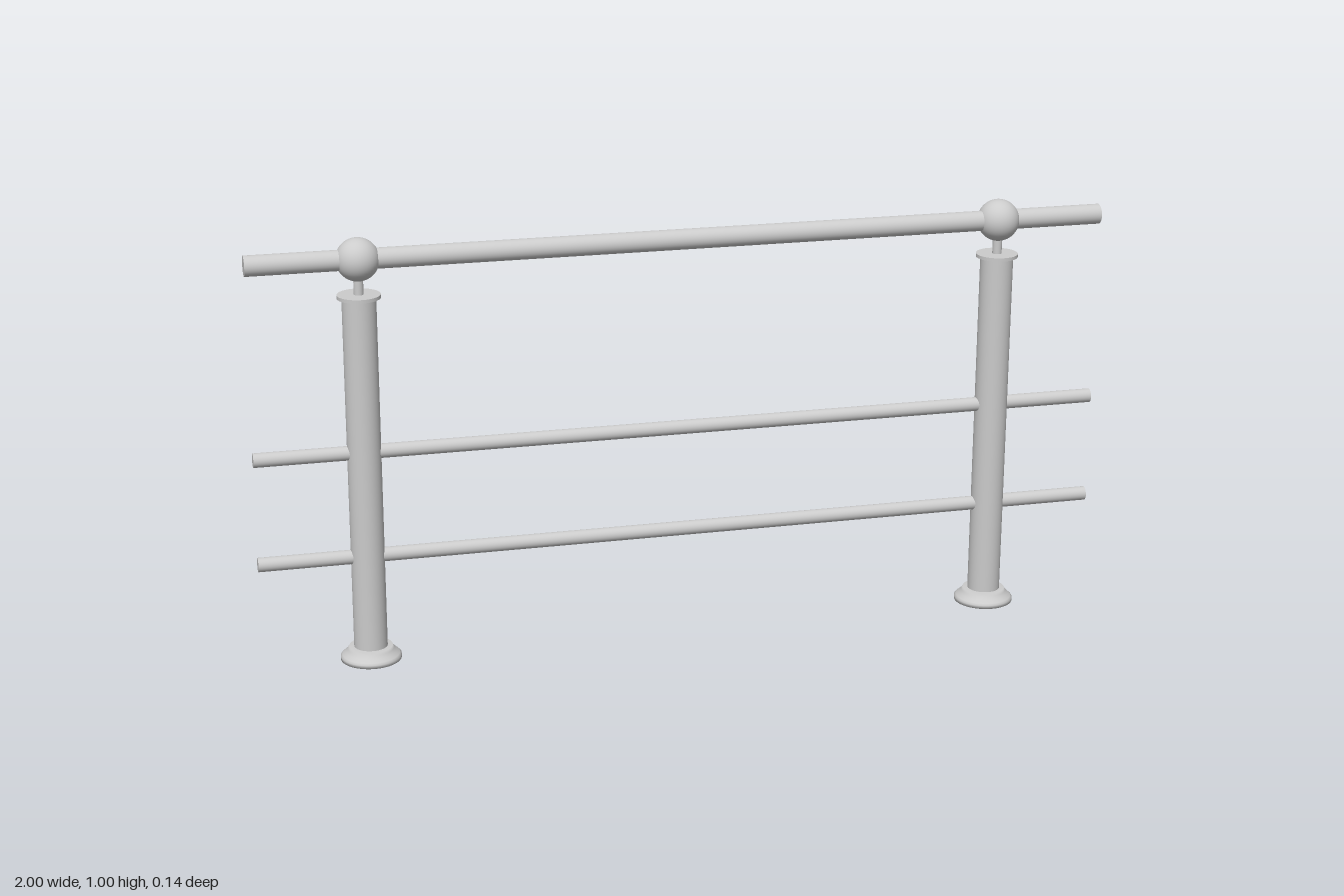
import * as THREE from 'three';

const material = new THREE.MeshStandardMaterial({ color: 0xcccccc, side: THREE.DoubleSide });
const LEAN = 0.0155; // forward lean of the railing: z per unit of height

function add(parent, name, geometry) {
  const mesh = new THREE.Mesh(geometry, material);
  mesh.name = name;
  parent.add(mesh);
  return mesh;
}

// Horizontal bar along x, following the lean of the posts
function addRail(parent, name, y, radius) {
  const rail = add(parent, name, new THREE.CylinderGeometry(radius, radius, 2, 32));
  rail.rotation.z = Math.PI / 2;
  rail.position.set(0, y, y * LEAN);
}

function createPost(name, x) {
  const post = new THREE.Group();
  post.name = name;

  // Flared foot
  const foot = [[0, 0], [0.07, 0], [0.07, 0.008], [0.066, 0.012], [0.059, 0.018], [0.053, 0.025], [0.05, 0.031], [0, 0.031]];
  add(post, 'foot', new THREE.LatheGeometry(foot.map(([r, y]) => new THREE.Vector2(r, y)), 40));

  // Upright tube, cap plate, neck pin and ball that holds the handrail
  add(post, 'upright', new THREE.CylinderGeometry(0.0385, 0.0385, 0.836, 40)).position.y = 0.446;
  add(post, 'cap', new THREE.CylinderGeometry(0.049, 0.049, 0.008, 40)).position.y = 0.867;
  add(post, 'neck', new THREE.CylinderGeometry(0.011, 0.011, 0.06, 20)).position.y = 0.895;
  add(post, 'ball', new THREE.SphereGeometry(0.049, 40, 24)).position.y = 0.951;

  post.rotation.x = Math.atan(LEAN);
  post.position.set(x, 0.001, 0);
  return post;
}

export function createModel() {
  const model = new THREE.Group();
  model.name = 'railing';

  model.add(createPost('leftPost', 0.75), createPost('rightPost', -0.75));

  addRail(model, 'handrail', 0.952, 0.0235);
  addRail(model, 'middleRail', 0.503, 0.0165);
  addRail(model, 'lowerRail', 0.253, 0.0165);

  return model;
}
